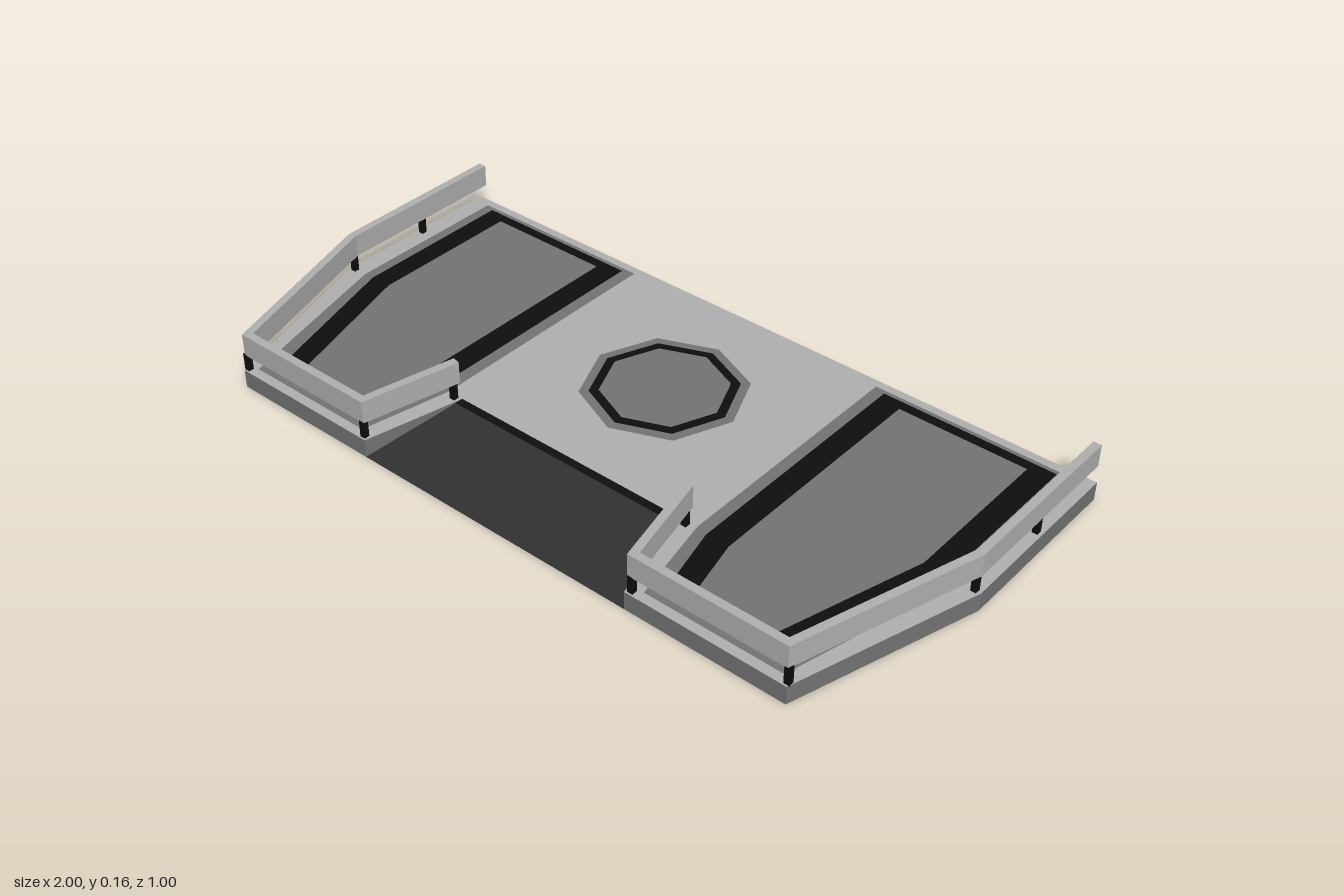
import * as THREE from 'three';

const mat = (name, color) => new THREE.MeshStandardMaterial({ name, color });

const TOP = 0.05;       // deck height
const NOTCH_Z = 0.23;   // back of the front notch
const FRONT = 0.5;

// Outline of the +x half, from the back corner round to the notch
const SIDE = [[1, -0.5], [1, 0], [0.85, 0.5], [0.41, 0.5], [0.35, NOTCH_Z]];
const flip = pts => pts.map(([x, z]) => [-x, z]);

const toShape = pts => new THREE.Shape(pts.map(([x, z]) => new THREE.Vector2(x, -z)));

// Horizontal prism standing on y
function prism(pts, y, height) {
  const g = new THREE.ExtrudeGeometry(toShape(pts), { depth: height, bevelEnabled: false });
  g.rotateX(-Math.PI / 2);
  g.translate(0, y, 0);
  return g;
}

// Flat upward-facing plate
function plate(pts, y) {
  const g = new THREE.ShapeGeometry(toShape(pts));
  g.rotateX(-Math.PI / 2);
  g.translate(0, y, 0);
  return g;
}

// Offset an open path towards the deck, with mitred corners
function inset(pts, d) {
  const normal = (a, b) => {
    const dx = b[0] - a[0], dz = b[1] - a[1], l = Math.hypot(dx, dz);
    return [-dz / l, dx / l];
  };
  return pts.map((p, i) => {
    const n1 = normal(pts[Math.max(i - 1, 0)], pts[Math.max(i, 1)]);
    const last = pts.length - 1;
    const n2 = normal(pts[Math.min(i, last - 1)], pts[Math.min(i + 1, last)]);
    const k = d / (1 + n1[0] * n2[0] + n1[1] * n2[1]);
    return [p[0] + (n1[0] + n2[0]) * k, p[1] + (n1[1] + n2[1]) * k];
  });
}

const octagon = r => Array.from({ length: 8 }, (_, i) => {
  const a = i * Math.PI / 4;
  return [r * Math.sin(a), -0.13 + r * Math.cos(a)];
});

export function createModel() {
  const light = mat('lightGrey', 0xb0b0b0);
  const grey = mat('midGrey', 0x747474);
  const black = mat('black', 0x0e0e0e);
  const dark = mat('darkGrey', 0x303030);

  const model = new THREE.Group();
  model.name = 'platform';
  const add = (name, geometry, material) => {
    const m = new THREE.Mesh(geometry, material);
    m.name = name;
    model.add(m);
    return m;
  };

  // Slab and light deck surface
  const outline = [...SIDE, ...flip(SIDE).reverse()];
  add('slab', prism(outline, 0, TOP), grey);
  add('deckSurface', plate(outline, TOP + 0.001), light);

  // Ramp filling the notch, sloping down to the front
  const slope = z => TOP * (FRONT - z) / (FRONT - NOTCH_Z);
  const ramp = prism([[-0.35, NOTCH_Z], [0.35, NOTCH_Z], [0.41, FRONT], [-0.41, FRONT]], 0, TOP);
  const pos = ramp.attributes.position;
  for (let i = 0; i < pos.count; i++) {
    if (pos.getY(i) > 0.01) pos.setY(i, Math.max(slope(pos.getZ(i)), 0.001));
  }
  ramp.computeVertexNormals();
  add('ramp', ramp, dark);

  // Black strip along the top of the ramp
  const strip = plate([[-0.35, NOTCH_Z], [0.35, NOTCH_Z], [0.355, 0.25], [-0.355, 0.25]], 0);
  const sp = strip.attributes.position;
  for (let i = 0; i < sp.count; i++) sp.setY(i, slope(sp.getZ(i)) + 0.0015);
  strip.computeVertexNormals();
  add('rampStrip', strip, black);

  // Layered floor markings: border, band, centre
  const layers = [
    ['Border', grey, [[0.945, -0.475], [0.945, 0], [0.825, 0.475], [0.445, 0.475], [0.395, 0.23], [0.395, -0.475]], 0.215],
    ['Band', black, [[0.915, -0.462], [0.915, 0], [0.785, 0.457], [0.48, 0.457], [0.428, 0.24], [0.428, -0.462]], 0.19],
    ['Centre', grey, [[0.853, -0.432], [0.853, 0], [0.73, 0.425], [0.535, 0.425], [0.493, 0.24], [0.493, -0.432]], 0.165],
  ];
  layers.forEach(([part, material, pts, radius], i) => {
    const y = TOP + 0.0025 + i * 0.0015;
    add('leftPanel' + part, plate(pts, y), material);
    add('rightPanel' + part, plate(flip(pts), y), material);
    add('octagon' + part, plate(octagon(radius), y), material);
  });

  // Guard rails on short posts, mirrored
  const railPts = [...inset(SIDE, 0.005), ...inset(SIDE, 0.027).reverse()];
  const posts = [[0.984, -0.255], [0.984, 0], [0.845, 0.488], [0.422, 0.488], [0.368, 0.24]];
  for (const [side, s] of [['left', 1], ['right', -1]]) {
    add(side + 'Rail', prism(s > 0 ? railPts : flip(railPts), 0.097, 0.062), light);
    for (const [x, z] of posts) {
      add(side + 'RailPost', new THREE.BoxGeometry(0.015, 0.05, 0.015), black)
        .position.set(s * x, 0.074, z);
    }
  }
  return model;
}
